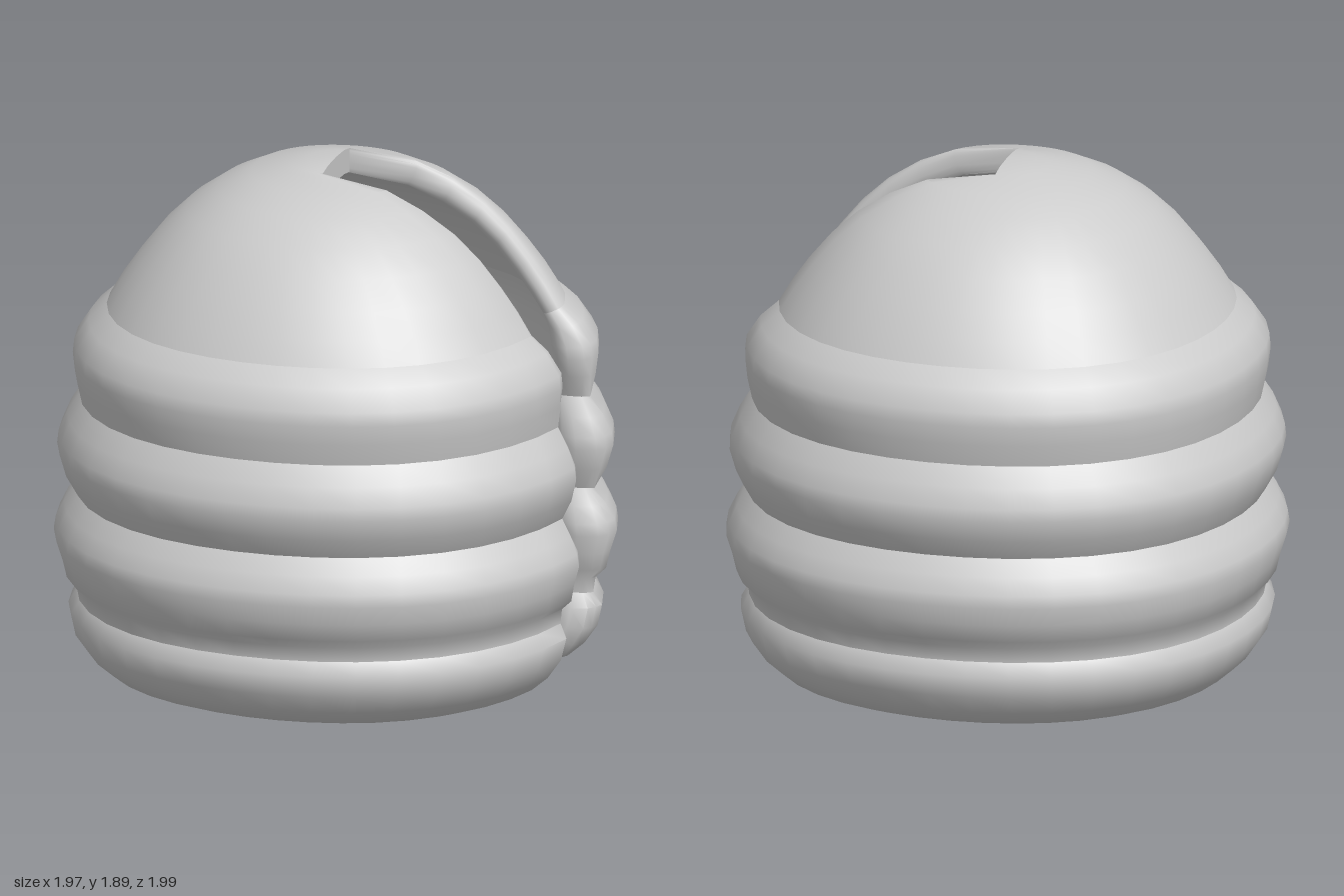
import * as THREE from 'three';
import { toCreasedNormals } from 'three/addons/utils/BufferGeometryUtils.js';

// Rows from top to bottom: [outer radius, outer y, inner radius, inner y, half width of the slot]
const SLOT = 0.163;
const sections = {
  dome: [
    [0, 1.89, 0, 1.80, SLOT], [0.1, 1.886, 0.1, 1.796, SLOT], [SLOT, 1.875, SLOT, 1.786, SLOT],
    [0.3, 1.842, 0.27, 1.753, SLOT], [0.42, 1.786, 0.38, 1.70, SLOT], [0.53, 1.71, 0.48, 1.632, SLOT],
    [0.62, 1.623, 0.56, 1.558, SLOT], [0.70, 1.523, 0.635, 1.465, SLOT], [0.76, 1.437, 0.69, 1.39, 0.16],
    [0.81, 1.352, 0.735, 1.32, 0.155],
  ],
  upperBand: [
    [0.81, 1.352, 0.735, 1.32, 0.155], [0.875, 1.295, 0.755, 1.27, 0.135], [0.925, 1.22, 0.765, 1.21, 0.12],
    [0.93, 1.17, 0.77, 1.17, 0.12], [0.922, 1.10, 0.775, 1.10, 0.145], [0.905, 1.02, 0.78, 1.02, 0.175],
  ],
  middleBand: [
    [0.905, 1.02, 0.78, 1.02, 0.175], [0.95, 0.95, 0.78, 0.95, 0.145], [0.98, 0.88, 0.78, 0.88, 0.125],
    [0.985, 0.835, 0.78, 0.835, 0.125], [0.962, 0.755, 0.78, 0.755, 0.145], [0.92, 0.68, 0.78, 0.68, 0.175],
  ],
  lowerBand: [
    [0.92, 0.68, 0.78, 0.68, 0.175], [0.96, 0.62, 0.78, 0.62, 0.145], [0.99, 0.56, 0.78, 0.56, 0.12],
    [0.997, 0.515, 0.78, 0.515, 0.12], [0.975, 0.445, 0.78, 0.445, 0.135], [0.96, 0.38, 0.78, 0.38, 0.15],
    [0.922, 0.345, 0.78, 0.345, 0.165], [0.915, 0.29, 0.775, 0.29, 0.17],
  ],
  baseBand: [
    [0.915, 0.29, 0.775, 0.29, 0.17], [0.945, 0.24, 0.77, 0.24, 0.14], [0.928, 0.16, 0.76, 0.18, 0.13],
    [0.88, 0.09, 0.745, 0.135, 0.13], [0.82, 0.038, 0.72, 0.108, 0.14], [0.74, 0.008, 0.69, 0.095, 0.14],
    [0.66, 0, 0.645, 0.088, 0.145], [0.638, 0.015, 0.636, 0.07, 0.15], [0.635, 0.04, 0.635, 0.04, 0.15],
  ],
};

// Rounded lip of the slot: [place through the wall, how far it draws back]
const lip = [[0, 1], [0.1, 0.55], [0.25, 0.2], [0.6, 0], [0.85, 0.12], [1, 0.5]];
const ARC = 36;
const SQUARENESS = 0.026;
const CENTRE_X = 0.008;

// Closed C-shaped cross-section of the wall at one row, slightly fuller on the diagonals
function ring([ro, yo, ri, yi, gap]) {
  const fade = THREE.MathUtils.clamp((ro - SLOT) / 0.3, 0, 1);
  const drawBack = fade * (0.02 + Math.max(0, 0.175 - gap) * 1.6);
  const ends = lip.map(([t, k]) => {
    const r = ro + (ri - ro) * t;
    const h = gap + drawBack * k;
    return { r, y: yo + (yi - yo) * t, a: r <= h ? Math.PI / 2 : Math.asin(h / r) };
  });
  const points = [];
  const add = (e, angle) => {
    const r = e.r * (1 + SQUARENESS * Math.sin(2 * angle) ** 2);
    points.push([CENTRE_X + r * Math.cos(angle), e.y, r * Math.sin(angle)]);
  };
  const outer = ends[0], inner = ends[ends.length - 1];
  const sweep = (e, t) => e.a + (2 * Math.PI - 2 * e.a) * t;
  for (let i = 0; i <= ARC; i++) add(outer, sweep(outer, i / ARC));
  for (const e of ends.slice(1, -1)) add(e, -e.a);
  for (let i = ARC; i >= 0; i--) add(inner, sweep(inner, i / ARC));
  for (const e of ends.slice(1, -1).reverse()) add(e, e.a);
  return points;
}

// Skin between successive cross-sections
function loft(rows) {
  const rings = rows.map(ring);
  const n = rings[0].length;
  const index = [];
  for (let i = 0; i < rings.length - 1; i++) {
    for (let j = 0; j < n; j++) {
      const k = (j + 1) % n;
      const a = i * n + j, b = i * n + k, c = a + n, d = b + n;
      index.push(a, b, c, b, d, c);
    }
  }
  const geometry = new THREE.BufferGeometry();
  geometry.setAttribute('position', new THREE.Float32BufferAttribute(rings.flat(2), 3));
  geometry.setIndex(index);
  return toCreasedNormals(geometry, 0.9);
}

export function createModel() {
  const group = new THREE.Group();
  group.name = 'slottedDomeShell';
  const material = new THREE.MeshStandardMaterial({ color: 0xcccccc, side: THREE.DoubleSide });
  for (const [name, rows] of Object.entries(sections)) {
    const mesh = new THREE.Mesh(loft(rows), material);
    mesh.name = name;
    group.add(mesh);
  }
  return group;
}
